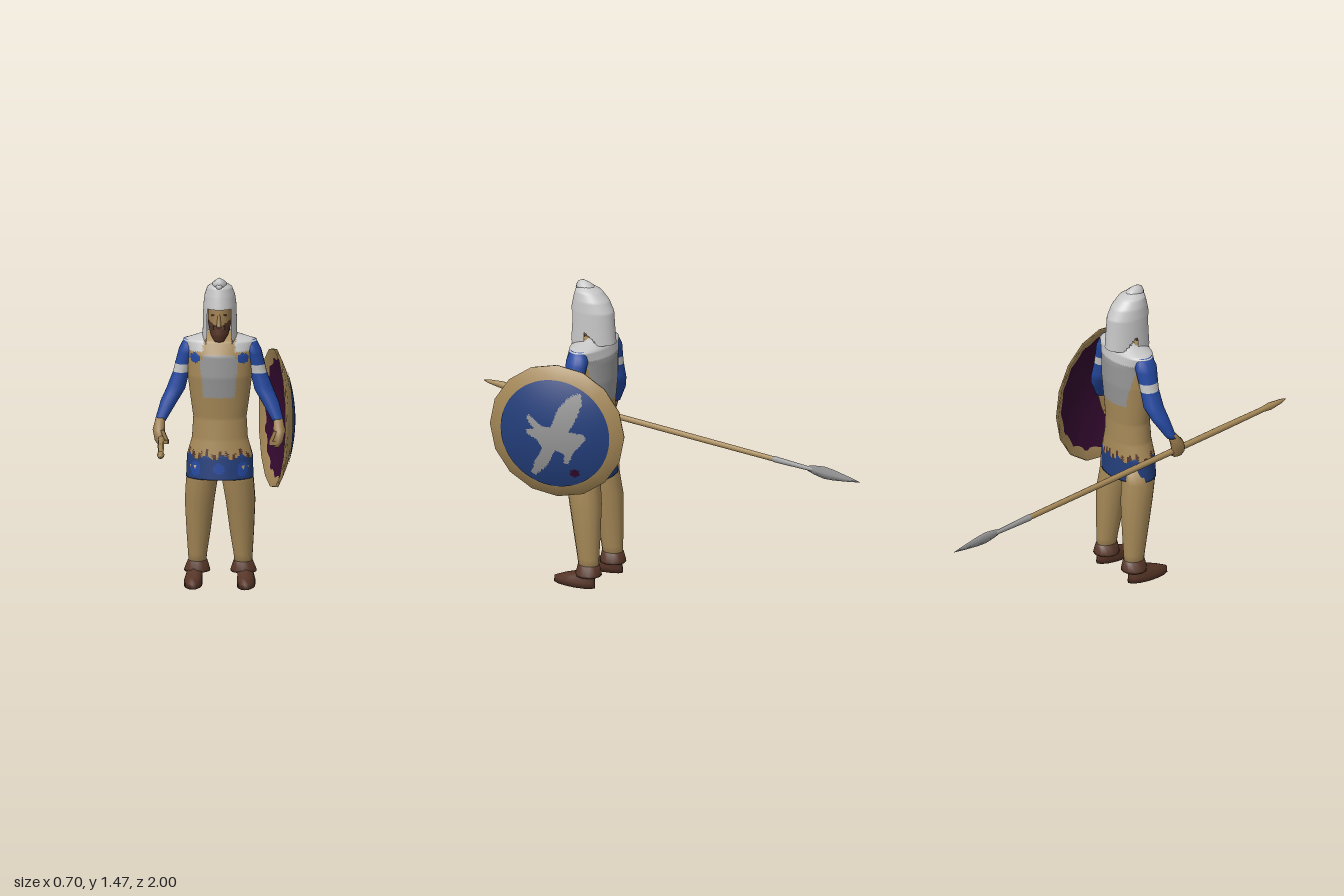
import * as THREE from 'three';

const mat = (name, color, side = THREE.FrontSide) => {
  const m = new THREE.MeshStandardMaterial({ color, side });
  m.name = name;
  return m;
};

// Stacks elliptical rings [y, centreX, centreZ, radiusX, radiusZ], listed upward, into a skin
function loft(rings, cols = 14, step = 1, caps = true) {
  const rows = [];
  rings.forEach((r, i) => {
    if (i) {
      const p = rings[i - 1], n = Math.max(1, Math.round((r[0] - p[0]) / step));
      for (let k = 1; k <= n; k++) rows.push(p.map((v, j) => v + (r[j] - v) * k / n));
    } else rows.push(r);
  });
  const pos = [], idx = [];
  for (const [y, cx, cz, rx, rz] of rows)
    for (let i = 0; i < cols; i++) {
      const a = i / cols * Math.PI * 2;
      pos.push(cx + rx * Math.sin(a), y, cz + rz * Math.cos(a));
    }
  const at = (r, i) => r * cols + i % cols, last = rows.length - 1;
  for (let r = 0; r < last; r++)
    for (let i = 0; i < cols; i++)
      idx.push(at(r, i), at(r, i + 1), at(r + 1, i), at(r, i + 1), at(r + 1, i + 1), at(r + 1, i));
  if (caps) {
    const c = pos.length / 3;
    for (const r of [rows[0], rows[last]]) pos.push(r[1], r[0], r[2]);
    for (let i = 0; i < cols; i++)
      idx.push(c, at(0, i + 1), at(0, i), c + 1, at(last, i), at(last, i + 1));
  }
  const g = new THREE.BufferGeometry();
  g.setAttribute('position', new THREE.Float32BufferAttribute(pos, 3));
  g.setIndex(idx);
  g.computeVertexNormals();
  return g;
}

// Sorts triangles into colour groups by a rule on their centre; -1 cuts the triangle away
function paint(g, count, rule) {
  const p = g.attributes.position, id = g.index.array;
  const buckets = Array.from({ length: count }, () => []);
  for (let i = 0; i < id.length; i += 3) {
    const t = [id[i], id[i + 1], id[i + 2]];
    const mid = f => (f(t[0]) + f(t[1]) + f(t[2])) / 3;
    const k = rule(mid(j => p.getX(j)), mid(j => p.getY(j)), mid(j => p.getZ(j)));
    if (k >= 0) buckets[k].push(...t);
  }
  g.setIndex(buckets.flat());
  let start = 0;
  buckets.forEach((b, k) => { g.addGroup(start, b.length, k); start += b.length; });
  return g;
}

function inside(poly, x, y) {
  let hit = false;
  poly.forEach(([x1, y1], i) => {
    const [x2, y2] = poly[(i + 1) % poly.length];
    if ((y1 > y) !== (y2 > y) && x < (x2 - x1) * (y - y1) / (y2 - y1) + x1) hit = !hit;
  });
  return hit;
}

export function createModel() {
  const tan = mat('tan cloth and wood', 0xa58857, THREE.DoubleSide);
  const skin = mat('skin', 0x9c7d4f);
  const pale = mat('pale metal and linen', 0xc6c6c6, THREE.DoubleSide);
  const grey = mat('grey metal', 0x969696);
  const blue = mat('blue sleeve', 0x2549a0);
  const navy = mat('dark blue', 0x243f7c);
  const brown = mat('brown leather and beard', 0x553426);
  const plum = mat('plum lining', 0x33092f);
  const model = new THREE.Group();
  const body = new THREE.Group();
  body.name = 'warrior';
  body.position.x = -0.02;
  model.add(body);
  const add = (parent, name, geo, m) => {
    const mesh = new THREE.Mesh(geo, m);
    mesh.name = name;
    parent.add(mesh);
    return mesh;
  };

  // Tunic with chest and back panels, shoulder pieces and a jagged blue hem
  const tunic = loft([
    [0.515, 0, 0.262, 0.157, 0.108], [0.62, 0, 0.26, 0.153, 0.104], [0.7, 0, 0.258, 0.13, 0.095],
    [0.8, 0, 0.256, 0.124, 0.09], [0.9, 0, 0.258, 0.138, 0.098], [1.0, 0, 0.26, 0.15, 0.108],
    [1.1, 0, 0.258, 0.154, 0.104], [1.165, 0, 0.25, 0.172, 0.085], [1.187, 0, 0.245, 0.1, 0.062],
    [1.205, 0, 0.24, 0.048, 0.046]], 72, 0.008);
  paint(tunic, 6, (x, y, z) => {
    const front = z > 0.25, ax = Math.abs(x), a = Math.atan2(x, z - 0.25);
    const edge = 0.622 + 0.012 * Math.sin(a * 9);
    if (y < edge) {
      const spot = front && (Math.hypot(x, y - 0.568) < 0.026 || Math.hypot((ax - 0.11) * 1.5, y - 0.565) < 0.035);
      return spot ? 3 : 4;
    }
    if (y < edge + 0.026 && Math.sin(a * 23) > 0.1) return 5;
    if (front && Math.hypot(ax - 0.112, y - 1.09) < 0.024) return 3;
    if (y > 1.12 && (ax > 0.075 || !front)) return 1;
    if (front && y > 0.905 && y < 1.11 && ax < 0.076 + (y - 0.905) * 0.06 - Math.max(0, y - 1.08) * 0.7) return 2;
    if (!front && y > 0.9 && ax < 0.085 + (y - 0.9) * 0.25) return 2;
    return 0;
  });
  add(body, 'tunic', tunic, [tan, pale, grey, blue, navy, brown]);

  // Neck, bearded head, nose and eyes
  add(body, 'neck', loft([[1.16, 0, 0.238, 0.05, 0.048], [1.28, 0, 0.245, 0.043, 0.046]]), skin);
  const head = loft([
    [1.168, 0, 0.325, 0.022, 0.02], [1.2, 0, 0.302, 0.042, 0.05], [1.25, 0, 0.275, 0.054, 0.074],
    [1.32, 0, 0.268, 0.056, 0.075], [1.38, 0, 0.265, 0.045, 0.06]], 40, 0.008);
  paint(head, 2, (x, y, z) => (z > 0.275 && y < 1.238 + Math.abs(x) * 0.6 ? 1 : 0));
  add(body, 'head', head, [skin, brown]);
  add(body, 'nose', loft([[1.24, 0, 0.348, 0.012, 0.016], [1.25, 0, 0.348, 0.012, 0.016],
    [1.3, 0, 0.338, 0.006, 0.009]], 6), skin);
  add(body, 'moustache', new THREE.BoxGeometry(0.055, 0.014, 0.02).translate(0, 1.237, 0.34), brown);

  // Helmet with face opening, cheek flaps and neck guard
  const helmet = loft([
    [1.155, 0, 0.256, 0.082, 0.12], [1.25, 0, 0.256, 0.079, 0.112], [1.33, 0, 0.257, 0.077, 0.107],
    [1.38, 0, 0.265, 0.071, 0.089], [1.42, 0, 0.28, 0.058, 0.064], [1.44, 0, 0.29, 0.032, 0.034],
    [1.446, 0, 0.292, 0.004, 0.004]], 48, 0.006, false);
  paint(helmet, 1, (x, y, z) => {
    const a = Math.abs(Math.atan2(x / 0.078, (z - 0.257) / 0.11)) * 180 / Math.PI;
    const bottom = a < 47 ? 1.322 : a < 93 ? 1.15 : a < 125 ? 1.24 - (a - 93) * 0.0018 : 1.18;
    return y < bottom ? -1 : 0;
  });
  add(body, 'helmet', helmet, [pale]);
  add(body, 'helmetCrest', loft([[1.425, 0, 0.295, 0.034, 0.045], [1.442, 0, 0.298, 0.034, 0.046],
    [1.456, 0, 0.306, 0.018, 0.03], [1.466, 0, 0.31, 0.004, 0.008]], 10), pale);
  add(body, 'crestCurl', new THREE.SphereGeometry(0.016, 8, 6).translate(0, 1.428, 0.332), pale);

  for (const s of [-1, 1]) {
    const side = s > 0 ? 'left' : 'right';
    const mirror = rings => rings.map(([y, x, ...r]) => [y, x * s, ...r]);
    add(body, side + 'Eye', new THREE.BoxGeometry(0.022, 0.006, 0.008).translate(s * 0.024, 1.295, 0.335), brown);

    // Sleeve with a pale armband
    const arm = loft(mirror([
      [0.785, 0.275, 0.305, 0.026, 0.024], [0.87, 0.237, 0.272, 0.04, 0.042], [0.93, 0.205, 0.255, 0.045, 0.048],
      [1.01, 0.18, 0.25, 0.039, 0.046], [1.05, 0.17, 0.25, 0.04, 0.048],
      [1.12, 0.15, 0.25, 0.042, 0.055], [1.168, 0.135, 0.25, 0.032, 0.04]]), 14, 0.02);
    paint(arm, 2, (x, y) => (y > 1.01 && y < 1.05 ? 1 : 0));
    add(body, side + 'Arm', arm, [blue, pale]);

    // Closed hand with thumb and fingers
    const hand = new THREE.Group();
    hand.name = side + 'Hand';
    body.add(hand);
    add(hand, 'palm', loft(mirror([[0.675, 0.268, 0.345, 0.012, 0.024], [0.7, 0.275, 0.345, 0.024, 0.034],
      [0.75, 0.28, 0.335, 0.03, 0.034], [0.8, 0.275, 0.308, 0.022, 0.022]]), 10), skin);
    for (let i = 0; i < 4; i++)
      add(hand, 'finger', new THREE.BoxGeometry(0.034, 0.018, 0.014)
        .translate(s * 0.252, 0.688 + i * 0.003, 0.322 + i * 0.016), skin);
    const thumb = add(hand, 'thumb', new THREE.BoxGeometry(0.016, 0.055, 0.018), skin);
    thumb.position.set(s * 0.252, 0.727, 0.365);
    thumb.rotation.z = s * -0.4;

    // Trouser leg, boot cuff and shoe
    add(body, side + 'Leg', loft(mirror([[0.08, 0.107, 0.213, 0.04, 0.048], [0.14, 0.106, 0.216, 0.045, 0.053],
      [0.25, 0.101, 0.225, 0.057, 0.064], [0.4, 0.095, 0.238, 0.07, 0.078],
      [0.5, 0.084, 0.255, 0.075, 0.082], [0.58, 0.08, 0.26, 0.07, 0.085]])), tan);
    add(body, side + 'BootCuff', loft(mirror([[0.055, 0.108, 0.213, 0.061, 0.062],
      [0.065, 0.108, 0.213, 0.06, 0.061], [0.107, 0.106, 0.213, 0.045, 0.053]]), 12), brown);
    add(body, side + 'Shoe', loft(mirror([[0, 0.123, 0.28, 0.043, 0.112], [0.025, 0.123, 0.28, 0.043, 0.11],
      [0.045, 0.12, 0.258, 0.039, 0.085], [0.065, 0.115, 0.225, 0.037, 0.05],
      [0.09, 0.108, 0.215, 0.035, 0.045]]), 14), brown);
  }

  // Spear, built upward from its butt and then laid along its line
  const V = (x, y) => new THREE.Vector2(x, y);
  const butt = new THREE.Vector3(-0.257, 0.757, 0.998), tip = new THREE.Vector3(-0.355, 0.608, -1);
  const spear = new THREE.Group();
  spear.name = 'spear';
  spear.position.copy(butt);
  spear.quaternion.setFromUnitVectors(new THREE.Vector3(0, 1, 0), tip.clone().sub(butt).normalize());
  model.add(spear);
  add(spear, 'shaft', new THREE.LatheGeometry(
    [V(0.001, 0), V(0.01, 0.03), V(0.018, 0.1), V(0.013, 0.14), V(0.015, 0.4), V(0.0145, 1.0), V(0.013, 1.56)], 8), tan);
  add(spear, 'socket', new THREE.LatheGeometry([V(0.013, 1.54), V(0.0155, 1.55), V(0.01, 1.75)], 8), grey);
  add(spear, 'blade', new THREE.LatheGeometry(
    [V(0.008, 1.71), V(0.022, 1.76), V(0.03, 1.81), V(0.026, 1.86), V(0.013, 1.94), V(0.0005, 2.003)], 4)
    .scale(0.3, 1, 1), grey);

  // Round domed shield: local y points outward, local x backward, local z down
  const shield = new THREE.Group();
  shield.name = 'shield';
  const out = new THREE.Vector3(0.97, -0.03, -0.24).normalize();
  const down = new THREE.Vector3(0, -1, 0).addScaledVector(out, out.y).normalize();
  const back = new THREE.Vector3().crossVectors(out, down);
  shield.quaternion.setFromRotationMatrix(new THREE.Matrix4().makeBasis(back, out, down));
  shield.position.set(0.238, 0.8, 0.293);
  model.add(shield);
  const dome = r => 0.08 * (1 - (r / 0.328) ** 2);
  const domeLine = (from, to, n, lift) => Array.from({ length: n + 1 }, (_, i) => {
    const r = from + (to - from) * i / n;
    return V(r, dome(r) + lift);
  });
  add(shield, 'rim', new THREE.LatheGeometry(
    [V(0.275, dome(0.275) - 0.012), V(0.325, -0.014), V(0.328, 0), ...domeLine(0.27, 0.001, 6, 0)], 16), tan);
  add(shield, 'lining', new THREE.LatheGeometry(domeLine(0.001, 0.285, 6, -0.013), 24), plum);

  // Painted face: pale bird shape and a small plum spot, in hundredths of a unit
  const bird = [[12.8, -21.4], [13.9, -17], [11.2, -9], [8, -3.2], [15.5, -2.1], [16, 0.5], [10.2, 7], [7.5, 13.4],
    [5.3, 12.8], [5.9, 8.5], [1.6, 6.4], [-2.7, 15], [-9, 21.4], [-11.2, 20.3], [-9, 13.9], [-4.8, 6.4],
    [-7.5, 2.1], [-12.3, 0], [-12.8, -2.1], [-9, -3.2], [-12.8, -7.5], [-11.8, -9.6], [-4.8, -4.8],
    [-0.5, -4.8], [2.7, -13.9], [8.5, -20.3]];
  const face = paint(new THREE.LatheGeometry(domeLine(0.265, 0.0005, 36, 0.004), 96), 3, (x, y, z) =>
    inside(bird, x * 100, z * 100) ? 1 : Math.hypot(x - 0.102, z - 0.182) < 0.022 ? 2 : 0);
  add(shield, 'paintedFace', face, [navy, grey, plum]);
  return model;
}
